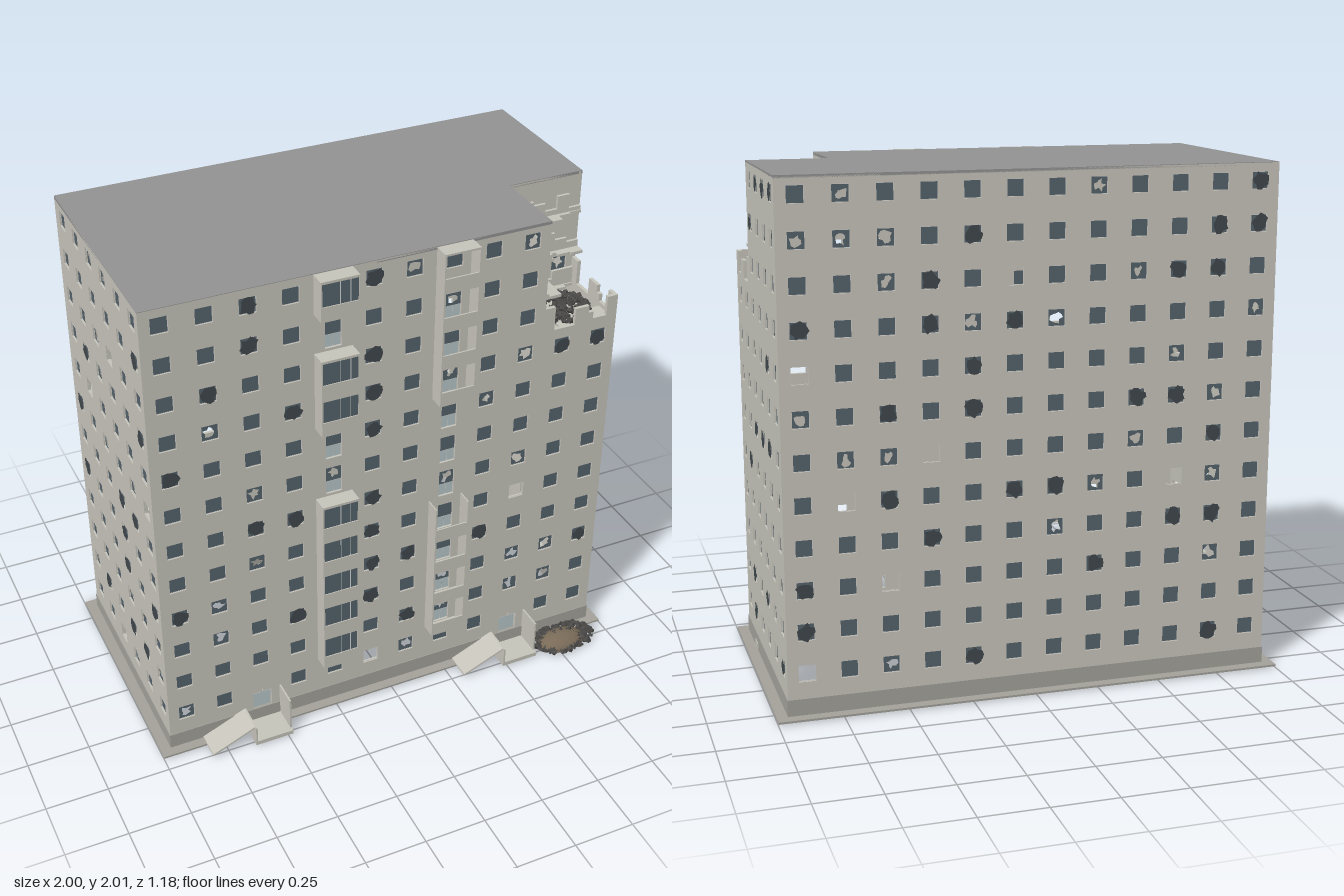
import * as THREE from 'three';
import { mergeGeometries } from 'three/addons/utils/BufferGeometryUtils.js';

let seed = 7;
const rand = (a = 0, b = 1) => {
  seed = (seed * 16807) % 2147483647;
  return a + (b - a) * seed / 2147483647;
};
const mat = (color, side = THREE.FrontSide) => new THREE.MeshStandardMaterial({ color, side });
const M = {
  wall: mat(0xc6c4ba, THREE.DoubleSide), plinth: mat(0xa3a19a), roof: mat(0x929292), glass: mat(0x55626b),
  soot: mat(0x3f474c), frame: mat(0xdedede), door: mat(0xb5c4c6), rubble: mat(0x4b4a48), earth: mat(0x7a6b58),
};
const rowY = r => 0.17 + 0.1604 * r;
const HALF = 0.0325, TOP = 2;

function add(parent, name, geos, material) {
  if (!geos.length) return;
  const mesh = new THREE.Mesh(mergeGeometries(geos.map(g => g.index ? g.toNonIndexed() : g)), material);
  mesh.name = name;
  parent.add(mesh);
}
// Box given by its limits
const box = (x0, x1, y0, y1, z0, z1) =>
  new THREE.BoxGeometry(x1 - x0, y1 - y0, z1 - z0).translate((x0 + x1) / 2, (y0 + y1) / 2, (z0 + z1) / 2);
const poly = pts => pts.map(p => new THREE.Vector2(...p));
const rect = (x0, x1, y0, y1) => poly([[x0, y0], [x1, y0], [x1, y1], [x0, y1]]);
const extrude = (shape, depth) => new THREE.ExtrudeGeometry(shape, { depth, bevelEnabled: false });
// Irregular star outline
function star(x, y, n, r0, r1) {
  const pts = [];
  for (let i = 0; i < n; i++) {
    const a = i / n * Math.PI * 2, r = rand(r0, r1);
    pts.push([x + r * Math.cos(a), y + r * Math.sin(a)]);
  }
  return poly(pts);
}
// Horizontal plate from (x, z) points
function plan(pts, y, h, hole) {
  const s = new THREE.Shape(poly(pts.map(([x, z]) => [x, -z])));
  if (hole) s.holes.push(new THREE.Path(poly(hole.map(([x, z]) => [x, -z]))));
  return extrude(s, h).rotateX(-Math.PI / 2).translate(0, y, 0);
}
const planRect = (x0, x1, z0, z1) => [[x0, z0], [x0, z1], [x1, z1], [x1, z0]];

// Wall with window holes; codes: . whole, x shattered, o holed, m missing, space none, D balcony door
function wall(name, outline, cols, code, entrances = []) {
  const g = new THREE.Group(), shape = new THREE.Shape(poly(outline));
  const glass = [], soot = [], frames = [], panels = [];
  g.name = name;
  const hole = (...r) => shape.holes.push(new THREE.Path(rect(...r)));
  cols.forEach((u, c) => {
    for (let r = 0; r < 12; r++) {
      const k = code(r, c), y = rowY(r);
      if (k === ' ') continue;
      const door = Math.abs(Math.abs(u) - 0.24) < 0.01 && name === 'frontWall' && r > 0 && r < 11;
      const low = door ? 0.085 : HALF;
      hole(u - HALF, u + HALF, y - low, y + HALF);
      if (door) for (const s of [-1, 1])
        panels.push(new THREE.PlaneGeometry(0.03, 0.05).translate(u + s * 0.016, y - 0.059, -0.008));
      const fr = new THREE.Shape(rect(u - HALF, u + HALF, y - HALF, y + HALF));
      fr.holes.push(new THREE.Path(rect(u - 0.0305, u + 0.0305, y - 0.0305, y + 0.0305)));
      frames.push(new THREE.ShapeGeometry(fr).translate(0, 0, -0.005));
      if (k === 'm') continue;
      const pane = new THREE.Shape(rect(u - HALF, u + HALF, y - HALF, y + HALF));
      if (k === 'o') pane.holes.push(new THREE.Path(star(u, y, 11, 0.008, 0.03)));
      glass.push(new THREE.ShapeGeometry(pane).translate(0, 0, -0.008));
      if (k === 'x') soot.push(new THREE.ShapeGeometry(new THREE.Shape(star(u, y, 13, 0.024, 0.04))).translate(0, 0, 0.002));
    }
  });
  for (const u of entrances) {
    hole(u - 0.04, u + 0.04, 0.02, 0.155);
    panels.push(new THREE.PlaneGeometry(0.076, 0.12).translate(u, 0.08, -0.01));
  }
  add(g, name + 'Panel', [extrude(shape, 0.015).translate(0, 0, -0.015)], M.wall);
  add(g, 'windowPanes', glass, M.glass);
  add(g, 'shatteredPanes', soot, M.soot);
  add(g, 'windowFrames', frames, M.frame);
  add(g, 'doorPanels', panels, M.door);
  return g;
}
function place(g, x, z, turn) {
  g.position.set(x, 0, z);
  g.rotation.y = turn;
  return g;
}
// Heap of tumbled fragments
function heap(parent, name, x, y, z, rx, rz, h, n) {
  const geos = [];
  for (let i = 0; i < n; i++) {
    const a = rand(0, Math.PI * 2), d = Math.sqrt(rand()), s = rand(0.006, 0.016);
    geos.push(new THREE.BoxGeometry(s * 1.6, s, s).rotateX(rand(0, 3)).rotateY(rand(0, 3)).rotateZ(rand(0, 3))
      .translate(x + rx * d * Math.cos(a), y + 0.009 + h * (1 - d) * rand(0.5, 1), z + rz * d * Math.sin(a)));
  }
  add(parent, name, geos, M.rubble);
}

export function createModel() {
  seed = 7;
  const model = new THREE.Group();
  model.name = 'damagedApartmentBlock';
  const X = 0.955, ZF = 0.4, ZB = -0.555, NX = 0.635, NZ = 0.08;
  const colsX = Array.from({ length: 12 }, (_, i) => -0.88 + 0.16 * i);
  const colsZ = Array.from({ length: 6 }, (_, i) => -0.33 + 0.16 * i);

  // Window states, top floor first
  const front = ['..x..xo..o  ', '..x....o..  ', '.x...x....  ', '.o.x.x.o.oxx', 'x....x..o...', '..o.o.......',
    '..xx.x.o.o..', '..o..x...m..', 'xo...xx.x...', '.o.x.x.o.oox', '......xo.oo.', 'o. ..mo.. ..'];
  const side = ['  oxxx', '  x...', '  ....', '..o...', 'o...x.', '......', '..xxx.', 'ox....', '.o....', '.....o', '.x.xo.', '.x.o.x'];
  const fromMap = map => (r, c) => map[11 - r][c];
  const anyState = () => { const v = rand(); return v < 0.03 ? 'm' : v < 0.16 ? 'o' : v < 0.36 ? 'x' : '.'; };

  // Jagged edge of the collapsed corner: distance from the corner, height
  const edge = [[0, 1.62], [0.045, 1.62], [0.045, 1.54], [0.105, 1.54], [0.105, 1.57], [0.125, 1.57], [0.125, 1.6],
    [0.185, 1.6], [0.185, 1.53], [0.275, 1.53], [0.275, 1.63], [0.32, 1.63], [0.32, TOP]];

  // Outer walls
  model.add(place(wall('frontWall', [[-X, 0], [X, 0], ...edge.map(([d, y]) => [X - d, y]), [-X, TOP]],
    colsX, fromMap(front), [-0.56, 0.56]), 0, ZF, 0));
  model.add(place(wall('rightWall', [[-ZF, 0], [-ZB, 0], [-ZB, TOP], ...edge.map(([d, y]) => [-ZF + d, y]).reverse()],
    colsZ, fromMap(side)), X, 0, Math.PI / 2));
  model.add(place(wall('backWall', [[-X, 0], [X, 0], [X, TOP], [-X, TOP]], colsX, anyState), 0, ZB, Math.PI));
  model.add(place(wall('leftWall', [[ZB, 0], [ZF, 0], [ZF, TOP], [ZB, TOP]],
    colsZ.map(u => -u), anyState), -X, 0, -Math.PI / 2));

  // Inner walls exposed by the collapse
  model.add(place(wall('innerBackWall', [[NX, 1.5], [X, 1.5], [X, TOP], [NX, TOP]], [0.72, 0.88],
    (r, c) => r === 9 ? '.o'[c] : ' '), 0, NZ, 0));
  model.add(place(wall('innerSideWall', [[-ZF, 1.5], [-NZ, 1.5], [-NZ, TOP], [-ZF, TOP]], [-0.33, -0.17],
    (r, c) => r > 8 ? (r < 11 && c === 0 ? 'o' : '.') : ' '), NX, 0, Math.PI / 2));

  // Broken floor edges and wall stubs clinging to the inner walls
  const stubs = [];
  for (const y of [1.51, 1.67, 1.83]) for (let i = 0; i < 6; i++) {
    const a = i * 0.053, b = a + 0.053, d1 = rand(0.01, 0.07), d2 = rand(0.01, 0.07);
    stubs.push(box(NX + a, NX + b, y, y + 0.012, NZ, NZ + d1), box(NX, NX + d2, y, y + 0.012, NZ + a, NZ + b));
    stubs.push(box(NX + a, NX + b, y, y + rand(0.015, 0.1), NZ, NZ + 0.012));
    stubs.push(box(NX, NX + 0.012, y, y + rand(0.015, 0.1), NZ + a, NZ + b));
  }
  stubs.push(extrude(new THREE.Shape(star(0.79, -0.25, 14, 0.08, 0.13)), 0.012).rotateX(-Math.PI / 2).translate(0, 1.51, 0));
  stubs.push(box(0.86, 0.945, 1.51, 1.522, 0.3, 0.36), box(0.72, 0.78, 1.51, 1.522, 0.34, 0.39));
  add(model, 'brokenFloorsAndWalls', stubs, M.wall);

  // Roof, plinth, vent and paving
  add(model, 'roof', [plan([[-X, ZB], [-X, ZF], [NX, ZF], [NX, NZ], [X, NZ], [X, ZB]], 1.99, 0.012)], M.roof);
  add(model, 'plinth', [plan(planRect(-X - 0.003, X + 0.003, ZB - 0.003, ZF + 0.003), 0, 0.072,
    planRect(-X + 0.016, X - 0.016, ZB + 0.016, ZF - 0.016)),
  ], M.plinth);
  add(model, 'vent', [box(X, X + 0.006, 0.012, 0.04, 0.14, 0.2)], M.wall);
  add(model, 'paving', [plan(planRect(-1, 1, -0.6, 0.443), 0, 0.008,
    planRect(-X + 0.016, X - 0.016, ZB + 0.016, ZF - 0.016))], M.plinth);

  // Balcony stacks: glazed on one side, open on the other
  const shell = [], glazing = [], bars = [], zb = 0.465;
  for (const r of [1, 2, 3, 4, 5, 8, 9, 11]) {
    const y = rowY(r) - 0.096, t = y + 0.1604;
    shell.push(box(-0.315, -0.165, y, y + 0.06, ZF, zb), box(-0.315, -0.165, t - 0.01, t, ZF, zb));
    for (const x of [-0.315, -0.17]) shell.push(box(x, x + 0.005, y + 0.06, t - 0.01, ZF, zb));
    glazing.push(box(-0.31, -0.17, y + 0.06, t - 0.01, zb - 0.008, zb - 0.004));
    for (const x of [-0.24, -0.2]) bars.push(box(x - 0.001, x + 0.001, y + 0.06, t - 0.01, zb - 0.004, zb - 0.002));
  }
  for (const r of [1, 2, 3, 4, 8, 9, 10, 11]) {
    const y = rowY(r) - 0.096, t = y + 0.1604;
    shell.push(box(0.165, 0.31, y, y + 0.008, ZF, zb), box(0.165, 0.31, y, y + 0.06, zb - 0.006, zb));
    for (const x of [0.165, 0.305]) shell.push(box(x, x + 0.005, y, t, ZF, zb));
    if (r === 11) shell.push(box(0.165, 0.31, t - 0.008, t, ZF, zb));
  }
  add(model, 'balconies', shell, M.wall);
  add(model, 'balconyGlazing', glazing, M.glass);
  add(model, 'balconyGlazingBars', bars, M.frame);

  // Entrance porches with sloping ramps
  for (const x of [-0.56, 0.56]) {
    const p = new THREE.Group();
    p.name = 'entrance';
    p.position.x = x;
    const ramp = new THREE.Shape(poly([[-0.26, 0.005], [-0.08, 0.082], [-0.08, 0.09], [-0.26, 0.013]]));
    add(p, 'porch', [box(-0.08, 0.08, 0, 0.018, ZF, 0.525), box(-0.08, -0.073, 0, 0.09, ZF, 0.525),
      box(0.074, 0.081, 0, 0.16, ZF, 0.505), box(-0.002, 0.002, 0.155, 0.165, ZF, 0.406)], M.wall);
    add(p, 'ramp', [extrude(ramp, 0.115).translate(0, 0, ZF)], M.wall);
    model.add(p);
  }

  // Rubble on the broken floor and on the ground
  heap(model, 'upperRubble', 0.79, 1.52, 0.25, 0.12, 0.12, 0.035, 260);
  heap(model, 'groundRubble', 0.795, 0, 0.475, 0.14, 0.09, 0.045, 300);
  add(model, 'earthMound', [new THREE.SphereGeometry(1, 12, 5, 0, Math.PI * 2, 0, Math.PI / 2)
    .scale(0.11, 0.05, 0.07).translate(0.78, 0.002, 0.49)], M.earth);
  return model;
}
